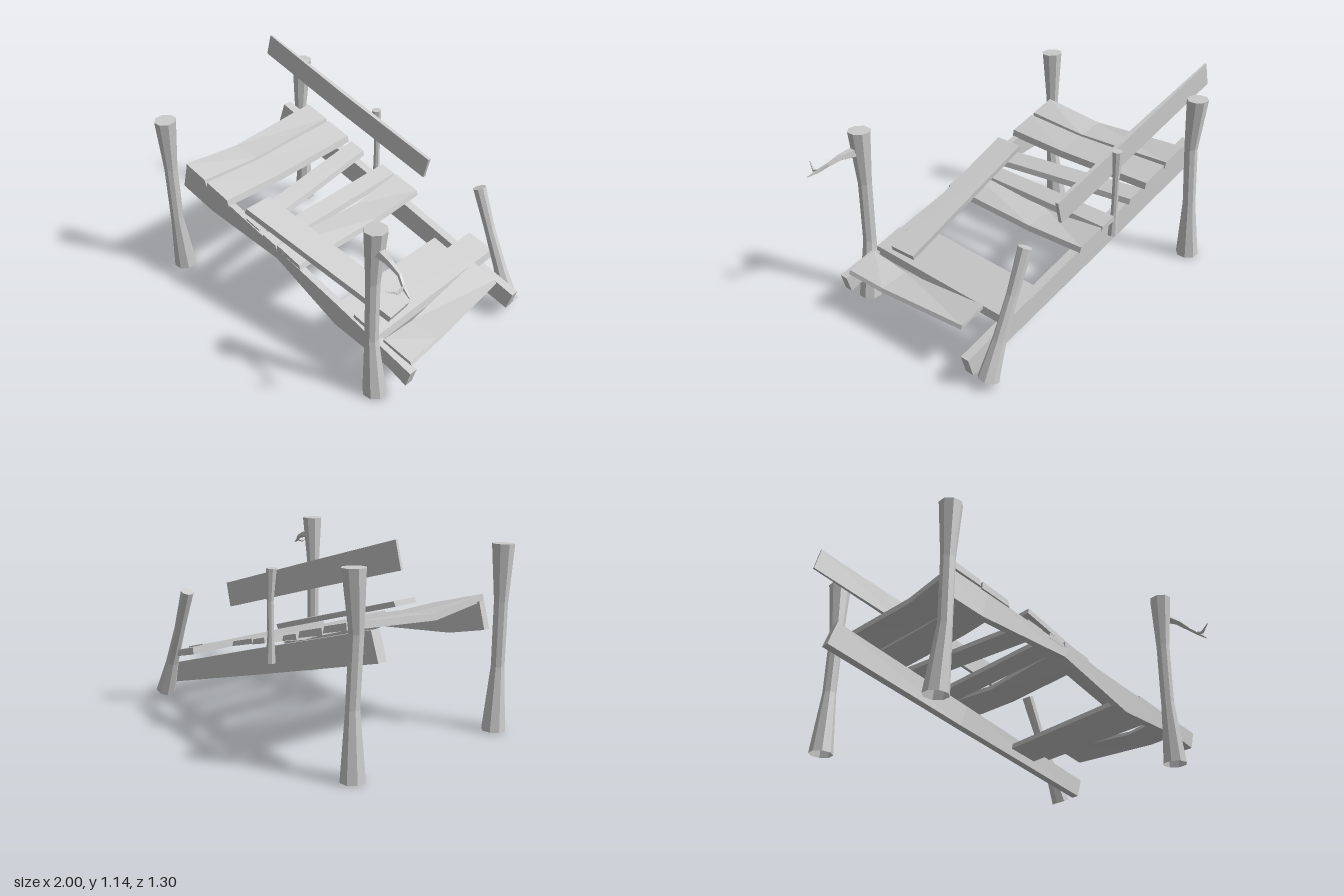
import * as THREE from 'three';

const material = new THREE.MeshStandardMaterial({ color: 0xcccccc, flatShading: true, side: THREE.DoubleSide });

// Skins a list of equal-sized rings of [x, y, z] points, with optional start cap.
function loft(name, rings, capStart = true) {
  const n = rings[0].length, index = [];
  for (let r = 0; r < rings.length - 1; r++) {
    for (let i = 0; i < n; i++) {
      const a = r * n + i, b = r * n + (i + 1) % n;
      index.push(a, b, b + n, a, b + n, a + n);
    }
  }
  const last = (rings.length - 1) * n;
  for (let i = 1; i < n - 1; i++) {
    if (capStart) index.push(0, i + 1, i);
    index.push(last, last + i, last + i + 1);
  }
  const geometry = new THREE.BufferGeometry();
  geometry.setAttribute('position', new THREE.Float32BufferAttribute(rings.flat(2), 3));
  geometry.setIndex(index);
  const flat = geometry.toNonIndexed();
  flat.computeVertexNormals();
  const mesh = new THREE.Mesh(flat, material);
  mesh.name = name;
  return mesh;
}

// Round timber through stations [x, y, z, radius], rings square to its overall axis, open foot.
function timber(name, stations, sides = 8) {
  const first = new THREE.Vector3(...stations[0]);
  const axis = new THREE.Vector3(...stations[stations.length - 1]).sub(first).normalize();
  const u = new THREE.Vector3(0, 0, 1).cross(axis).normalize();
  const v = axis.clone().cross(u);
  const rings = stations.map(([x, y, z, r]) => Array.from({ length: sides }, (_, i) => {
    const t = (i + 0.5) / sides * Math.PI * 2;
    return new THREE.Vector3(x, y, z)
      .addScaledVector(u, Math.cos(t) * r).addScaledVector(v, Math.sin(t) * r).toArray();
  }));
  return loft(name, rings, false);
}

// Upright post, flared at both ends, with an x and z for each height.
function post(name, xs, zs) {
  const profile = [[0.007, 0.065], [0.35, 0.037], [0.7, 0.038], [1.005, 0.061]];
  return timber(name, profile.map(([y, r], i) => [xs[i], y, zs[i], r]));
}

// Height of the sloping deck surface.
const deckY = (x) => 0.73 - 0.286 * (x + 0.71);

// Cross plank through stations [z, left x, right x, left offset, right offset], back to front.
function plank(name, thick, stations) {
  return loft(name, stations.map(([z, a, b, da, db]) => {
    const ya = deckY(a) + da, yb = deckY(b) + db;
    return [[a - 0.005, ya - thick, z], [b + 0.01, yb - thick, z], [b, yb, z], [a, ya, z]];
  }));
}

// Long board through stations [bottom x, bottom y, top x, top y, back z, front z].
function rail(name, stations) {
  return loft(name, stations.map(([bx, by, tx, ty, z0, z1]) =>
    [[bx, by, z1], [bx, by, z0], [tx, ty, z0], [tx, ty, z1]]));
}

export function createModel() {
  const group = new THREE.Group();
  group.name = 'brokenFootbridge';

  // Posts
  group.add(
    post('frontLeftEndPost', [-0.803, -0.79, -0.79, -0.787], [0.44, 0.474, 0.48, 0.485]),
    post('backLeftEndPost', [-0.803, -0.79, -0.79, -0.787], [-0.592, -0.582, -0.56, -0.575]),
    post('frontRightEndPost', [0.743, 0.715, 0.712, 0.72], [0.482, 0.485, 0.485, 0.485]),
    timber('leaningPost', [
      [0.855, 0.05, -0.55, 0.057], [0.775, 0.24, -0.55, 0.037],
      [0.68, 0.46, -0.55, 0.031], [0.59, 0.685, -0.55, 0.037]]),
    timber('handrailStake', [
      [-0.125, 0.42, -0.53, 0.028], [-0.13, 0.56, -0.53, 0.018],
      [-0.13, 0.74, -0.53, 0.018], [-0.137, 0.91, -0.525, 0.028]]),
  );

  // Side beams, the front one with an uneven lower edge
  group.add(
    rail('frontBeam', [
      [-0.77, 0.56, -0.73, 0.705, 0.375, 0.415], [-0.53, 0.5, -0.5, 0.64, 0.38, 0.42],
      [0, 0.44, 0.03, 0.495, 0.39, 0.43], [0.43, 0.24, 0.45, 0.375, 0.4, 0.44],
      [0.8, 0.19, 0.81, 0.275, 0.405, 0.455], [0.92, 0.145, 0.945, 0.237, 0.41, 0.46]]),
    rail('backBeam', [
      [-0.89, 0.575, -0.84, 0.72, -0.52, -0.465], [0, 0.325, 0.04, 0.455, -0.51, -0.46],
      [0.905, 0.075, 0.935, 0.18, -0.497, -0.447]]),
    rail('handrail', [
      [-1, 1.01, -0.965, 1.14, -0.5, -0.488], [-0.37, 0.83, -0.335, 0.955, -0.5, -0.472],
      [0.26, 0.645, 0.29, 0.77, -0.495, -0.475]]),
  );

  // Deck planks, some sagging, the sixth dropped down between the beams
  const planks = [
    [0.036, [[-0.55, -0.71, -0.56, 0.005, 0.005], [0.05, -0.72, -0.56, -0.042, -0.02],
      [0.43, -0.71, -0.56, 0.005, 0.005]]],
    [0.036, [[-0.55, -0.54, -0.38, 0, 0], [0.05, -0.535, -0.375, -0.01, -0.005],
      [0.43, -0.54, -0.38, 0.003, 0.003]]],
    [0.03, [[-0.545, -0.345, -0.25, -0.01, -0.01], [0.42, -0.24, -0.145, -0.015, -0.015]]],
    [0.03, [[-0.55, -0.1, -0.01, -0.005, -0.005], [0.43, -0.1, -0.01, -0.01, -0.01]]],
    [0.028, [[-0.55, 0.005, 0.165, 0, 0], [-0.19, 0.005, 0.165, -0.04, -0.016],
      [0.43, 0.005, 0.165, 0.002, 0]]],
    [0.03, [[-0.455, 0.385, 0.54, -0.118, -0.118], [0.41, 0.38, 0.54, -0.108, -0.108]]],
    [0.04, [[-0.55, 0.555, 0.71, 0, 0], [0.43, 0.55, 0.71, 0, 0]]],
    [0.02, [[-0.38, 0.71, 0.855, 0.005, 0.003], [0.18, 0.73, 0.89, -0.04, -0.016],
      [0.42, 0.74, 0.91, -0.005, 0.003]]],
  ];
  planks.forEach(([thick, stations], i) => group.add(plank(`deckPlank${i + 1}`, thick, stations)));

  // Loose board lying along the deck
  group.add(loft('looseBoard', [
    [[-0.245, 0.615, 0.425], [-0.245, 0.615, 0.255], [-0.235, 0.645, 0.25], [-0.235, 0.645, 0.42]],
    [[0.69, 0.335, 0.325], [0.68, 0.335, 0.165], [0.69, 0.365, 0.16], [0.7, 0.365, 0.32]],
  ]));

  // Forked twig on the front right post
  group.add(
    timber('twig', [
      [0.75, 0.89, 0.49, 0.032], [0.83, 0.883, 0.51, 0.019], [0.9, 0.86, 0.525, 0.012],
      [0.95, 0.83, 0.555, 0.01], [1, 0.81, 0.575, 0.003]], 5),
    timber('twigFork', [
      [0.945, 0.835, 0.55, 0.01], [0.945, 0.822, 0.59, 0.009], [0.925, 0.853, 0.65, 0.002]], 5),
  );
  return group;
}
